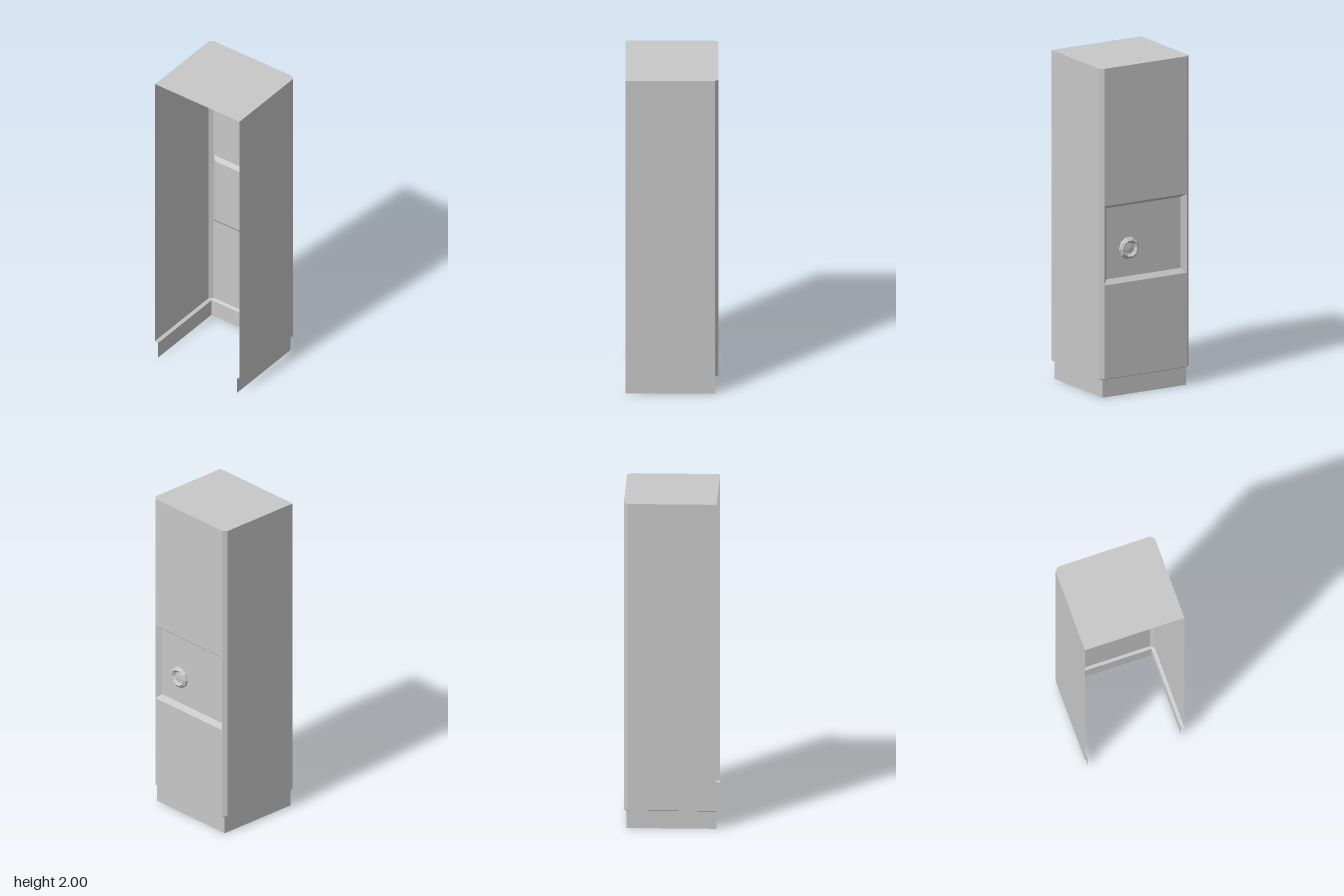
import * as THREE from 'three';

const metal = new THREE.MeshStandardMaterial({ color: 0xc8c8c8, side: THREE.DoubleSide, flatShading: true });
metal.name = 'grey metal';

// Strip of flat quads between two matching rows of points.
function strip(name, low, high) {
  const pos = [];
  for (let i = 0; i < low.length - 1; i++) {
    const [a, b, c, d] = [low[i], low[i + 1], high[i + 1], high[i]];
    pos.push(...a, ...b, ...c, ...a, ...c, ...d);
  }
  const geometry = new THREE.BufferGeometry();
  geometry.setAttribute('position', new THREE.Float32BufferAttribute(pos, 3));
  geometry.computeVertexNormals();
  const mesh = new THREE.Mesh(geometry, metal);
  mesh.name = name;
  return mesh;
}

const at = (outline, y) => outline.map(([x, z]) => [x, y, z]);

export function createModel() {
  const group = new THREE.Group();
  group.name = 'cabinet';

  // Plan outlines (x, z), open on the -x side
  const body = [[-0.275, 0.31], [0.25, 0.31], [0.272, 0.288], [0.272, -0.288], [0.25, -0.31], [-0.275, -0.31]];
  const base = [[-0.275, 0.29], [0.255, 0.29], [0.255, 0.29], [0.255, -0.29], [0.255, -0.29], [-0.275, -0.29]];
  const plinth = [base[0], base[1], base[3], base[5]];
  const door = body.slice(2, 4);
  const yLip = 0.115, yTop = 2, yLow = 0.685, yHigh = 1.165;

  // Side walls with chamfered corners
  for (const [name, side] of [['frontWall', body.slice(0, 3)], ['backWall', body.slice(3)]]) {
    group.add(strip(name, at(side, yLip), at(side, yTop)));
  }

  // Plinth and the sloped lip above it
  group.add(strip('plinth', at(plinth, 0), at(plinth, 0.107)));
  group.add(strip('lip', at(base, 0.107), at(body, yLip)));

  // Top
  const top = new THREE.ShapeGeometry(new THREE.Shape(body.map(([x, z]) => new THREE.Vector2(x, -z))));
  top.rotateX(-Math.PI / 2).translate(0, yTop, 0);
  const topMesh = new THREE.Mesh(top, metal);
  topMesh.name = 'top';
  group.add(topMesh);

  // Door panels below and above the recess
  group.add(strip('lowerPanel', at(door, yLip), at(door, yLow)));
  group.add(strip('upperPanel', at(door, yHigh), at(door, yTop)));

  // Recess with bevelled edges
  const frame = (x, z, y0, y1) => [[x, y0, z], [x, y0, -z], [x, y1, -z], [x, y1, z], [x, y0, z]];
  const xIn = 0.247;
  const inner = frame(xIn, 0.257, 0.713, 1.145);
  group.add(strip('recessBevel', frame(0.272, 0.288, yLow, yHigh), inner));
  group.add(strip('recessPanel', [inner[0], inner[1]], [inner[3], inner[2]]));

  // Faceted round lock with a hollow ring and a raised centre
  const profile = [[0.068, 0], [0.066, 0.01], [0.05, 0.022], [0.034, 0.008], [0, 0.012]];
  const lock = new THREE.Mesh(
    new THREE.LatheGeometry(profile.map(([r, h]) => new THREE.Vector2(r, h)), 10), metal);
  lock.name = 'lock';
  lock.rotation.z = -Math.PI / 2;
  lock.position.set(xIn, 0.883, 0.103);
  group.add(lock);

  return group;
}
